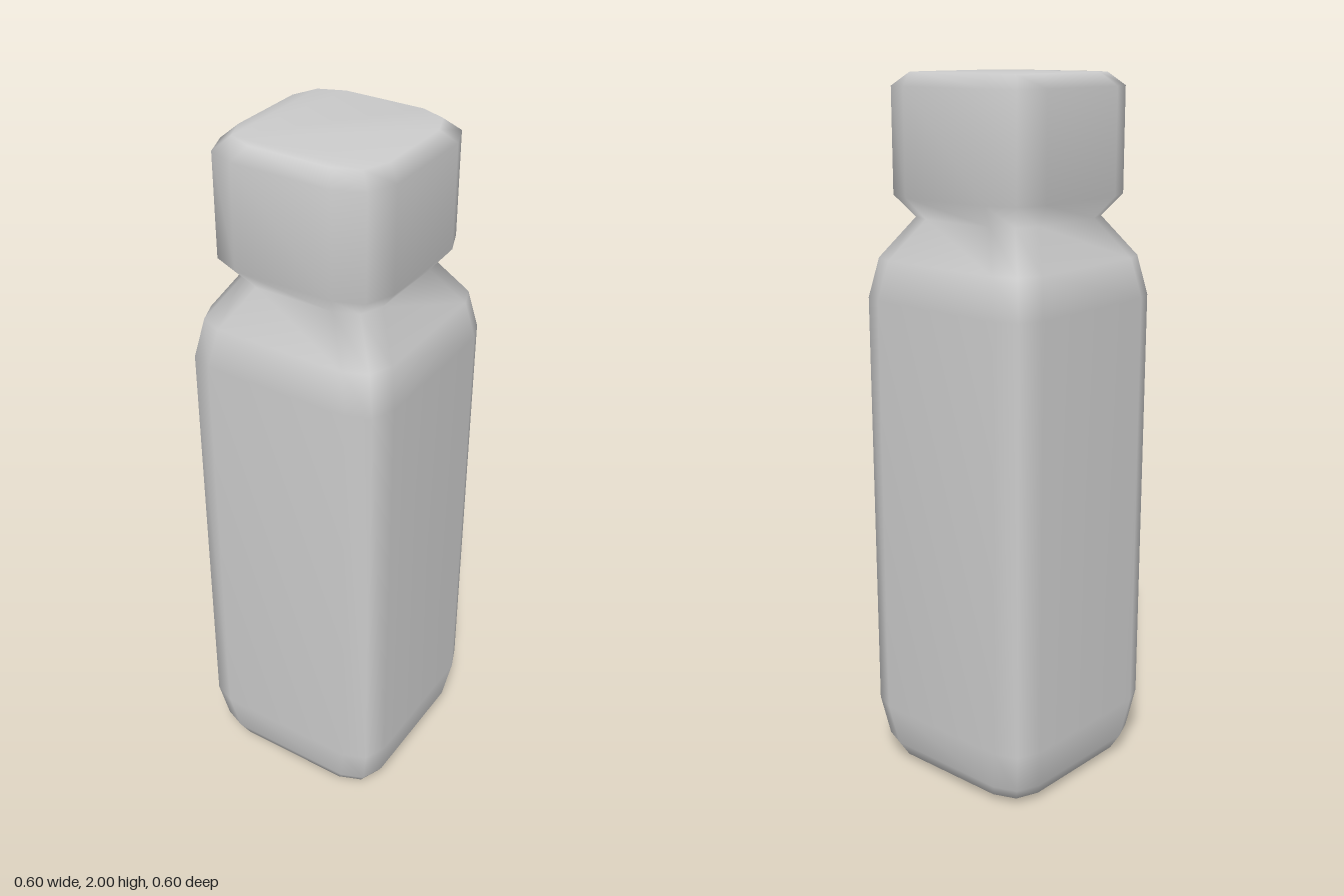
import * as THREE from 'three';

// Rings from the underside to the lid: [height, half width, corner bevel]
const RINGS = [
  [0.03, 0.16, 0.07], [0.005, 0.19, 0.08], [0.0, 0.21, 0.08], [0.02, 0.26, 0.09], [0.06, 0.28, 0.09],
  [0.18, 0.3, 0.09], [1.4, 0.3, 0.09], [1.51, 0.278, 0.09], [1.62, 0.205, 0.09],
  [1.68, 0.253, 0.11], [1.965, 0.253, 0.11], [2.0, 0.215, 0.1],
];
const NECK = 8; // ring where the cap meets the bottle
const SIDES = 12;

// Square with three-point rounded corners, starting at the front left corner
function ring([y, h, b]) {
  const points = [];
  const corner = [[h - b, h], [h - 0.29 * b, h - 0.29 * b], [h, h - b]];
  for (let q = 0; q < 4; q++) {
    const a = (q * Math.PI) / 2, c = Math.cos(a), s = Math.sin(a);
    for (const [x, z] of corner) points.push(x * c + z * s, y, z * c - x * s);
  }
  return points;
}

export function createModel() {
  const group = new THREE.Group();
  const grey = new THREE.MeshStandardMaterial({ color: 0xcccccc });
  grey.name = 'light grey';

  // Side walls between neighbouring rings
  const walls = (from, to) => {
    const index = [];
    for (let r = from; r < to; r++) {
      for (let i = 0; i < SIDES; i++) {
        const a = r * SIDES + i, b = r * SIDES + ((i + 1) % SIDES);
        index.push(a, a + SIDES, b, b, a + SIDES, b + SIDES);
      }
    }
    return index;
  };
  // Flat end, fanned from one corner
  const end = (r, up) => {
    const index = [], start = 10;
    for (let i = 1; i < SIDES - 1; i++) {
      const a = r * SIDES + start;
      const b = r * SIDES + ((start + i) % SIDES);
      const c = r * SIDES + ((start + i + 1) % SIDES);
      index.push(...(up ? [a, b, c] : [a, c, b]));
    }
    return index;
  };

  // Corners run clockwise or counter-clockwise: check once, flip if needed
  const positions = RINGS.flatMap(ring);
  const area = (() => {
    let sum = 0;
    for (let i = 0; i < SIDES; i++) {
      const j = (i + 1) % SIDES;
      sum += positions[i * 3 + 2] * positions[j * 3] - positions[j * 3 + 2] * positions[i * 3];
    }
    return sum;
  })();
  const orient = (index) => {
    // positive area: ring runs counter-clockwise seen from above
    if (area < 0) return index;
    const flipped = [];
    for (let i = 0; i < index.length; i += 3) flipped.push(index[i], index[i + 2], index[i + 1]);
    return flipped;
  };
  const last = RINGS.length - 1;
  const bottleIndex = [...orient(walls(0, NECK)), ...end(0, area < 0)];
  const capIndex = [...orient(walls(NECK, last)), ...end(last, area > 0)];

  // Smooth normals are shared over the neck
  const whole = new THREE.BufferGeometry();
  whole.setAttribute('position', new THREE.Float32BufferAttribute(positions, 3));
  whole.setIndex([...bottleIndex, ...capIndex]);
  whole.computeVertexNormals();

  for (const [name, index] of [['bottleBody', bottleIndex], ['cap', capIndex]]) {
    const mesh = new THREE.Mesh(whole.clone().setIndex(index), grey);
    mesh.name = name;
    group.add(mesh);
  }
  return group;
}
